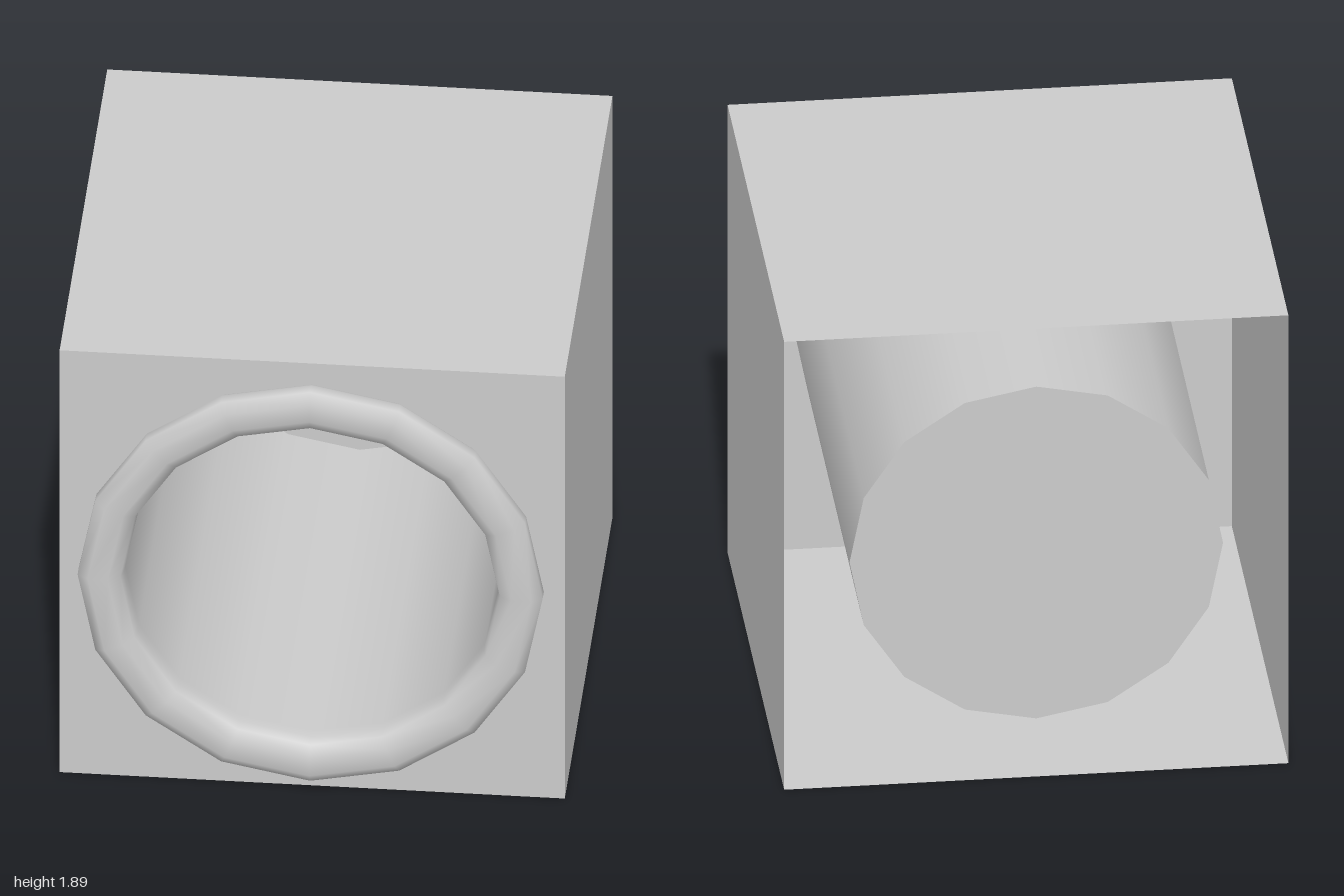
import * as THREE from 'three';

const HALF = 0.945, FRONT = 0.89, BACK = -1, RADIUS = 0.7, SIDES = 16;

export function createModel() {
  const model = new THREE.Group();
  const material = new THREE.MeshStandardMaterial({ color: 0xcccccc, side: THREE.DoubleSide });
  const add = (name, geometry, parent = model) => {
    const mesh = new THREE.Mesh(geometry, material);
    mesh.name = name;
    parent.add(mesh);
    return mesh;
  };

  // Housing: four thin walls, open at the back
  const housing = new THREE.Group();
  housing.name = 'housing';
  model.add(housing);
  const depth = FRONT - BACK;
  ['topWall', 'rightWall', 'bottomWall', 'leftWall'].forEach((name, i) => {
    const wall = new THREE.PlaneGeometry(2 * HALF, depth)
      .rotateX(-Math.PI / 2)
      .translate(0, HALF, (FRONT + BACK) / 2)
      .rotateZ(i * Math.PI / 2);
    add(name, wall, housing).position.y = HALF;
  });

  // Front panel with the round opening
  const panel = new THREE.Shape([
    new THREE.Vector2(-HALF, -HALF), new THREE.Vector2(HALF, -HALF),
    new THREE.Vector2(HALF, HALF), new THREE.Vector2(-HALF, HALF),
  ]);
  const rim = [];
  for (let i = 0; i < SIDES; i++) {
    const a = -i * 2 * Math.PI / SIDES;
    rim.push(new THREE.Vector2(RADIUS * Math.cos(a), RADIUS * Math.sin(a)));
  }
  panel.holes.push(new THREE.Path(rim));
  add('frontPanel', new THREE.ShapeGeometry(panel), housing).position.set(0, HALF, FRONT);

  // Drum running from the opening to the back, closed by a flat disc
  const drum = new THREE.CylinderGeometry(RADIUS, RADIUS, depth, SIDES, 1, true).rotateX(Math.PI / 2);
  add('drum', drum).position.set(0, HALF, (FRONT + BACK) / 2);
  add('drumBack', new THREE.CircleGeometry(RADIUS, SIDES).rotateY(Math.PI)).position.set(0, HALF, BACK);

  // Rounded ring around the opening, as radius and z
  const profile = [
    [0.85, 0.89], [0.87, 0.925], [0.87, 0.972], [0.83, 1],
    [0.755, 1], [0.71, 0.972], [0.7, 0.93], [0.7, 0.89],
  ].map(([r, z]) => new THREE.Vector2(r, z));
  add('doorRing', new THREE.LatheGeometry(profile, SIDES).rotateX(Math.PI / 2)).position.y = HALF;

  return model;
}
